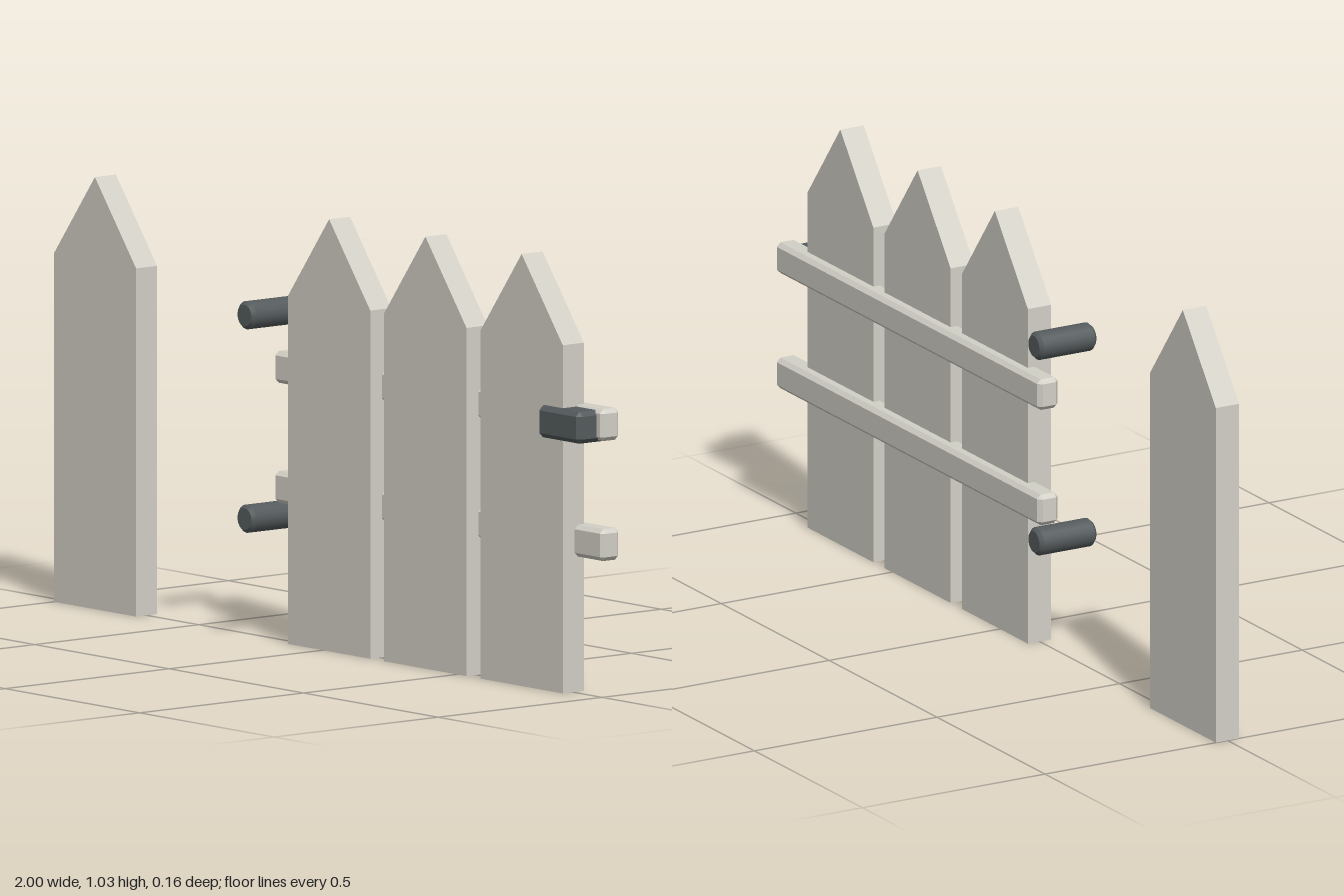
import * as THREE from 'three';
import { ConvexGeometry } from 'three/addons/geometries/ConvexGeometry.js';

const wood = new THREE.MeshStandardMaterial({ color: 0xd2d0c6, flatShading: true });
const iron = new THREE.MeshStandardMaterial({ color: 0x555b5d, flatShading: true });
const ironSmooth = new THREE.MeshStandardMaterial({ color: 0x555b5d });

// Box with every edge chamfered by c
function chamferBox(w, h, d, c) {
  const half = [w / 2, h / 2, d / 2];
  const points = [];
  for (const sx of [-1, 1]) for (const sy of [-1, 1]) for (const sz of [-1, 1]) {
    for (let face = 0; face < 3; face++) {
      const p = half.map((v, axis) => (axis === face ? v : v - c));
      points.push(new THREE.Vector3(p[0] * sx, p[1] * sy, p[2] * sz));
    }
  }
  return new ConvexGeometry(points);
}

export function createModel() {
  const fence = new THREE.Group();
  fence.name = 'picketGate';

  function add(parent, name, geometry, material, x, y, z) {
    const mesh = new THREE.Mesh(geometry, material);
    mesh.name = name;
    mesh.position.set(x, y, z);
    parent.add(mesh);
    return mesh;
  }

  // Pointed boards: one free-standing, three in the gate
  const outline = new THREE.Shape([
    [-0.153, 0], [0.153, 0], [0.153, 0.83], [0, 1.03], [-0.153, 0.83],
  ].map(([x, y]) => new THREE.Vector2(x, y)));
  const picket = new THREE.ExtrudeGeometry(outline, { depth: 0.064, bevelEnabled: false });
  picket.translate(0, 0, -0.032);
  add(fence, 'fencePicket', picket, wood, -0.847, 0, 0);

  const gate = new THREE.Group();
  gate.name = 'gate';
  fence.add(gate);
  for (const x of [0.024, 0.382, 0.74]) add(gate, 'gatePicket', picket, wood, x, 0, 0);

  // Rails across the back
  const rail = chamferBox(1.226, 0.076, 0.056, 0.01);
  for (const y of [0.36, 0.646]) add(gate, 'rail', rail, wood, 0.384, y, -0.032);

  // Hinge pins lying along z, with chamfered ends
  const pin = new THREE.LatheGeometry([
    [0, -0.078], [0.026, -0.078], [0.026, -0.078], [0.034, -0.07], [0.034, -0.07],
    [0.034, 0.07], [0.034, 0.07], [0.026, 0.078], [0.026, 0.078], [0, 0.078],
  ].map(([r, y]) => new THREE.Vector2(r, y)), 16);
  pin.rotateX(Math.PI / 2);
  for (const y of [0.29, 0.775]) add(gate, 'hinge', pin, ironSmooth, -0.235, y, 0);

  // Latch on the front, at the free end
  add(gate, 'latch', chamferBox(0.158, 0.076, 0.09, 0.011), iron, 0.896, 0.642, 0.005);

  return fence;
}
